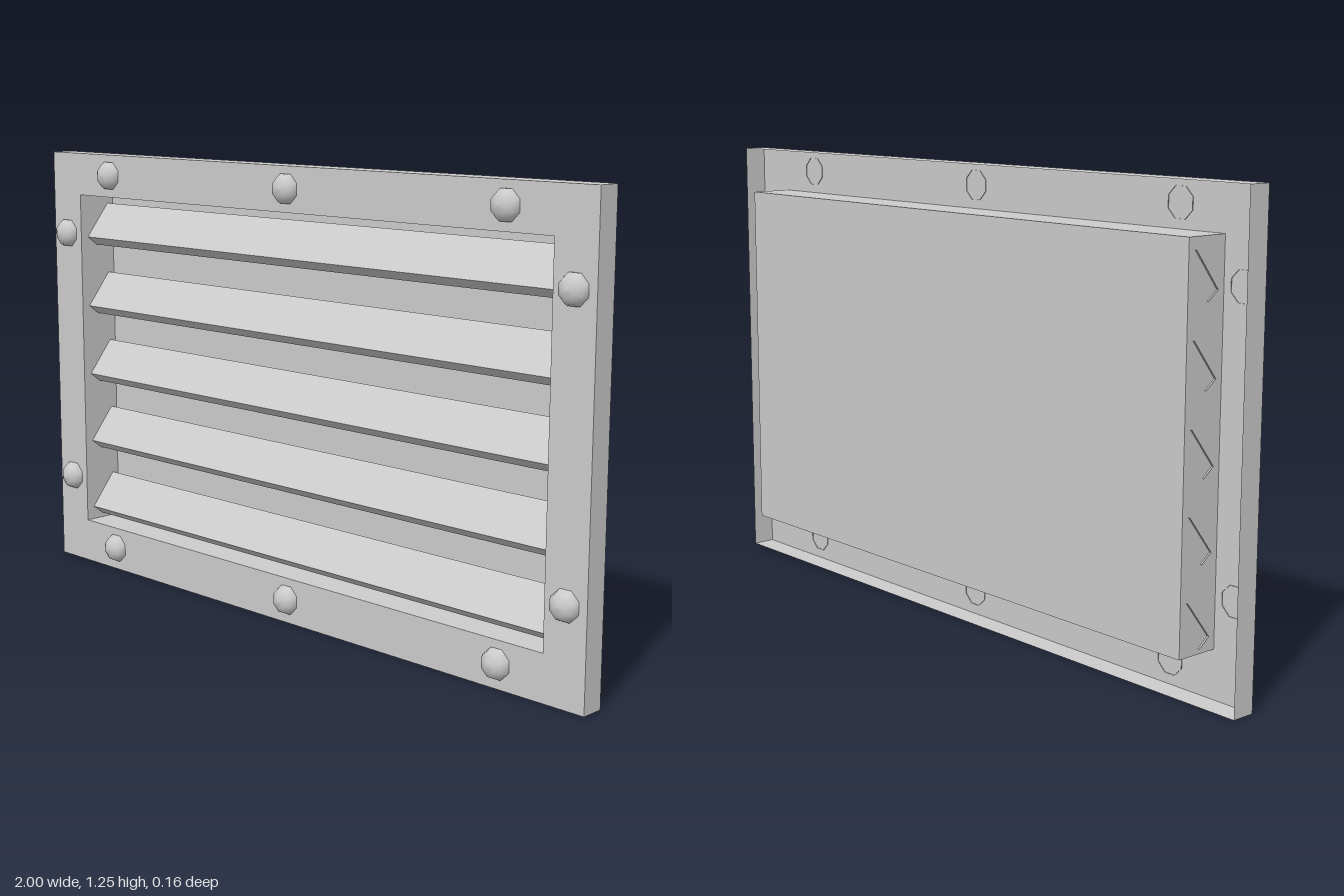
import * as THREE from 'three';

const material = new THREE.MeshStandardMaterial({ color: 0xcccccc, side: THREE.DoubleSide });
const flat = material.clone();
flat.flatShading = true;

const FRONT = 0.045, RIM_BACK = -0.02, TRAY_BACK = -0.077;
const W = 1, H = 1.25;                        // frame half width, height
const OX = 0.875, OY0 = 0.127, OY1 = 1.127;   // opening

function add(parent, name, geometry, mat = flat) {
  const mesh = new THREE.Mesh(geometry, mat);
  mesh.name = name;
  parent.add(mesh);
  return mesh;
}

// Flat sheet from a rectangle, optionally with a rectangular hole
function rectangle(Type, x, y0, y1) {
  const r = new Type();
  r.moveTo(-x, y0).lineTo(x, y0).lineTo(x, y1).lineTo(-x, y1).closePath();
  return r;
}

// Four thin walls around a rectangle, running from z0 to z1
function walls(parent, name, x, y0, y1, z0, z1) {
  const d = z1 - z0, h = y1 - y0, zc = (z0 + z1) / 2;
  for (const s of [-1, 1]) {
    const side = add(parent, name + 'Side', new THREE.PlaneGeometry(d, h));
    side.rotation.y = s * Math.PI / 2;
    side.position.set(s * x, (y0 + y1) / 2, zc);
    const edge = add(parent, name + (s > 0 ? 'Top' : 'Bottom'), new THREE.PlaneGeometry(2 * x, d));
    edge.rotation.x = -s * Math.PI / 2;
    edge.position.set(0, s > 0 ? y1 : y0, zc);
  }
}

// Bent sheet: a (z, y) profile swept along x
function sweptSheet(profile, x0, x1) {
  const pos = [], index = [];
  profile.forEach(([z, y], i) => {
    pos.push(x0, y, z, x1, y, z);
    if (i) {
      const a = 2 * i - 2;
      index.push(a, a + 2, a + 1, a + 1, a + 2, a + 3);
    }
  });
  const g = new THREE.BufferGeometry();
  g.setAttribute('position', new THREE.Float32BufferAttribute(pos, 3));
  g.setIndex(index);
  g.computeVertexNormals();
  return g;
}

export function createModel() {
  const model = new THREE.Group();
  model.name = 'ventGrille';

  // Frame: front sheet with opening and a rim folded back, open behind
  const frame = new THREE.Group();
  frame.name = 'frame';
  const sheet = rectangle(THREE.Shape, W, 0, H);
  sheet.holes.push(rectangle(THREE.Path, OX, OY0, OY1));
  add(frame, 'frameFace', new THREE.ShapeGeometry(sheet)).position.z = FRONT;
  walls(frame, 'rim', W, 0, H, RIM_BACK, FRONT);
  model.add(frame);

  // Recessed tray behind the opening
  const tray = new THREE.Group();
  tray.name = 'tray';
  walls(tray, 'tray', OX, OY0, OY1, TRAY_BACK, FRONT);
  add(tray, 'trayBack', new THREE.ShapeGeometry(rectangle(THREE.Shape, OX, OY0, OY1))).position.z = TRAY_BACK;
  model.add(tray);

  // Louvres: sloping blades with a lip folded back underneath
  const louvre = sweptSheet([[-0.057, 0.097], [0.02, 0], [-0.012, -0.025]], -0.88, 0.869);
  for (let i = 0; i < 5; i++) {
    add(model, 'louvre', louvre).position.y = 0.166 + i * 0.2085;
  }

  // Domed rivets around the frame
  const dome = new THREE.LatheGeometry(
    [[0.042, -0.002], [0.042, 0.006], [0.035, 0.02], [0.019, 0.03], [0, 0.033]]
      .map(([r, y]) => new THREE.Vector2(r, y)), 8);
  dome.rotateY(Math.PI / 8).rotateX(Math.PI / 2);
  const spots = [];
  for (const x of [-0.735, 0, 0.735]) spots.push([x, 0.066], [x, 1.19]);
  for (const x of [-0.937, 0.937]) spots.push([x, 0.26], [x, 1.01]);
  for (const [x, y] of spots) add(model, 'rivet', dome, material).position.set(x, y, FRONT);

  return model;
}
